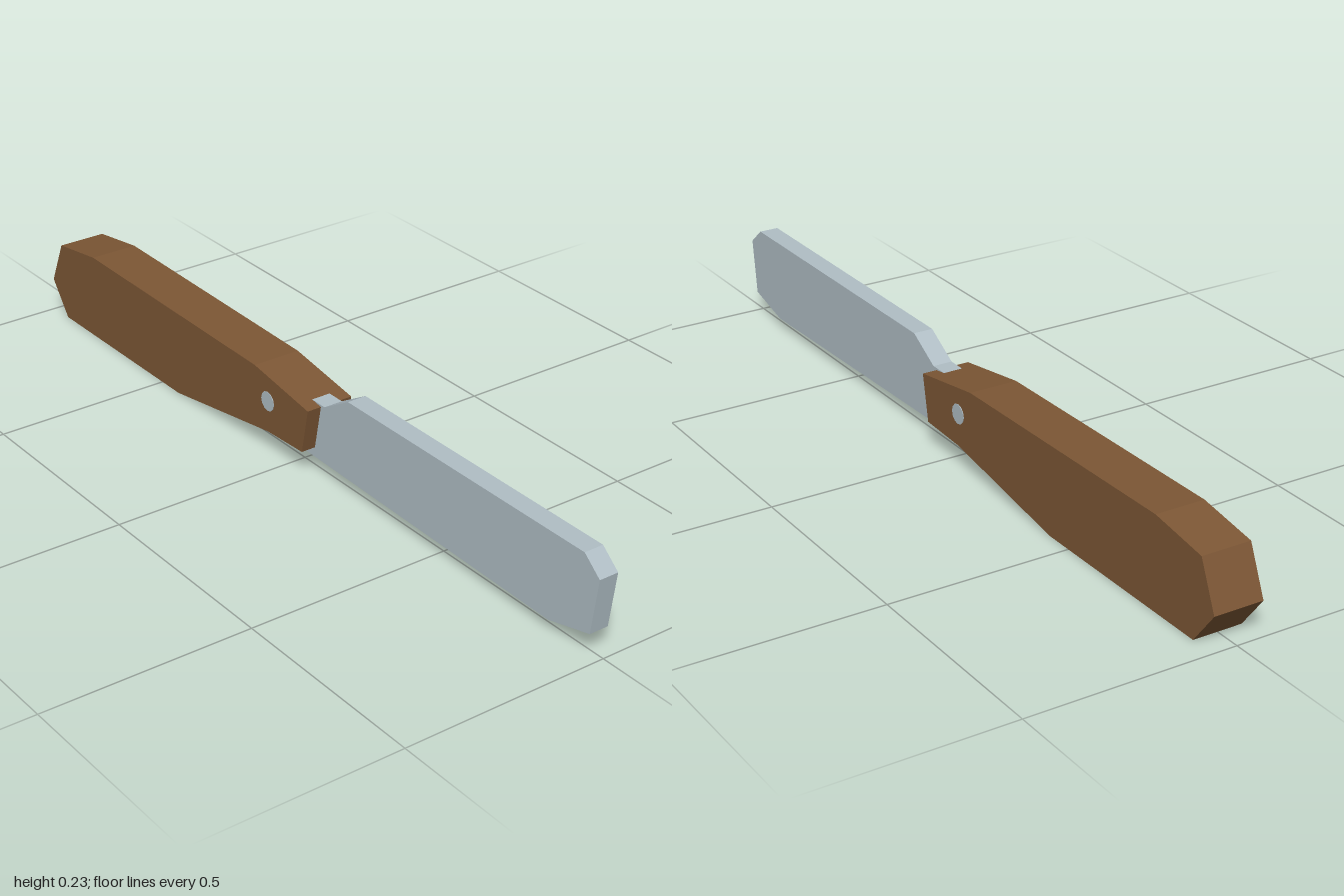
import * as THREE from 'three';

const wood = new THREE.MeshStandardMaterial({ name: 'brown wood', color: 0x7d5735 });
const steel = new THREE.MeshStandardMaterial({ name: 'pale steel', color: 0xb0bec5 });

// Flat outline in x/y given thickness, centred on z = 0
function slab(name, points, thickness, material) {
  const shape = new THREE.Shape(points.map(([x, y]) => new THREE.Vector2(x, y)));
  const geometry = new THREE.ExtrudeGeometry(shape, { depth: thickness, bevelEnabled: false });
  geometry.translate(0, 0, -thickness / 2);
  const mesh = new THREE.Mesh(geometry, material);
  mesh.name = name;
  return mesh;
}

export function createModel() {
  const knife = new THREE.Group();
  knife.name = 'foldingKnife';

  // Faceted wooden handle, narrowing towards the pivot
  knife.add(slab('handle', [
    [-1, 0.083], [-0.937, 0], [-0.43, 0], [-0.06, 0.06], [0.07, 0.066],
    [0.092, 0.178], [-0.11, 0.209], [-0.8, 0.217], [-0.952, 0.194],
  ], 0.12, wood));

  // Blade with its tang running into the handle
  knife.add(slab('blade', [
    [-0.045, 0.06], [-0.03, 0.044], [0.86, 0.027], [0.982, 0.058], [1, 0.193],
    [0.953, 0.233], [0.19, 0.233], [0.105, 0.183], [-0.045, 0.183],
  ], 0.048, steel));

  // Pivot pin, just proud of both handle faces
  const pin = new THREE.Mesh(new THREE.CylinderGeometry(0.024, 0.024, 0.123, 12), steel);
  pin.name = 'pivotPin';
  pin.rotation.x = Math.PI / 2;
  pin.position.set(-0.06, 0.138, 0);
  knife.add(pin);

  return knife;
}
